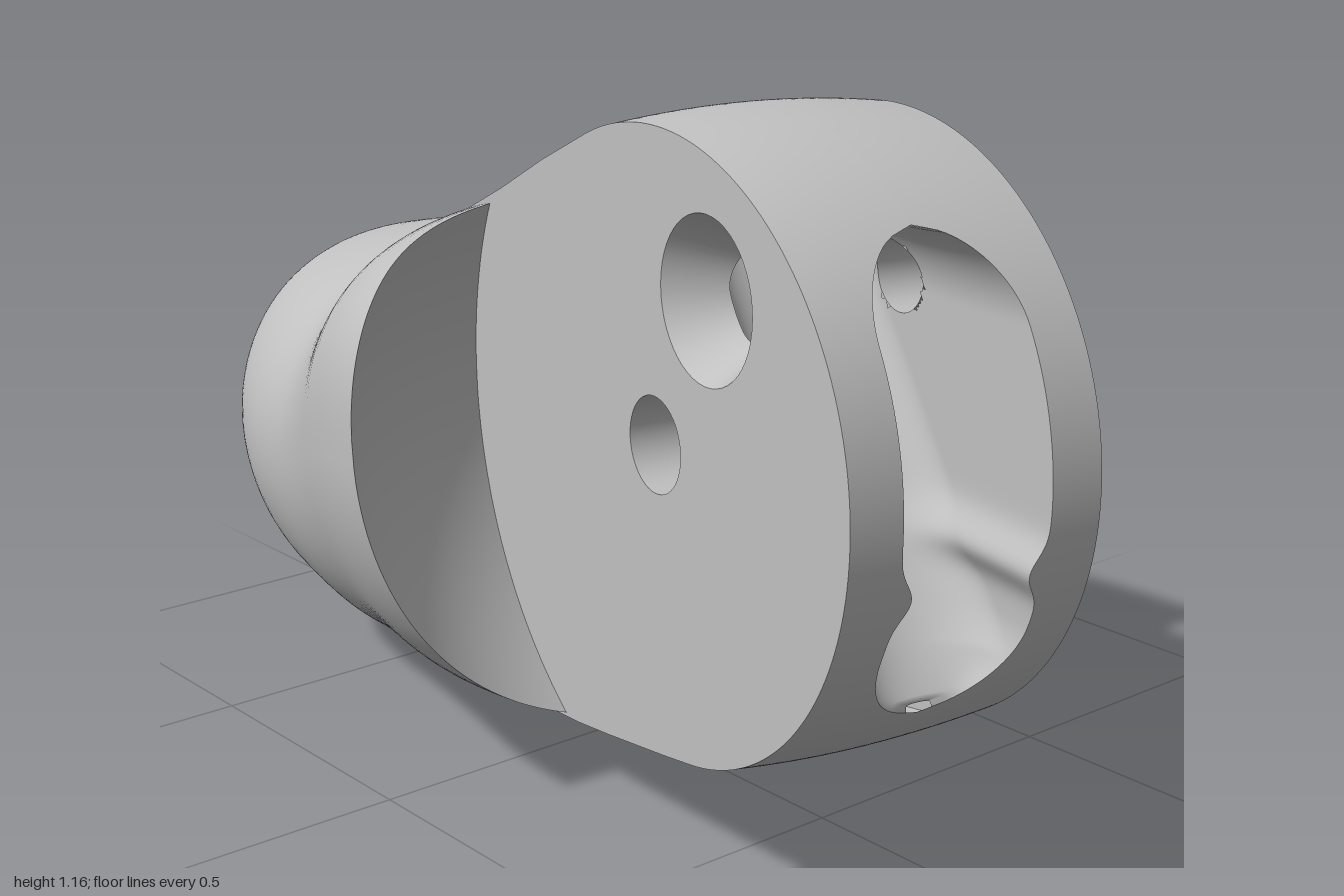
import * as THREE from 'three';

const HALF = 0.211;                          // half thickness of the hinge plate
const HUB = [-0.085, 0.67, 0.462];           // pivot centre
const PIVOT = { s: 0, y: 0, r: 0.075 };
const CROSS = { s: 0.14, y: 0.25 };          // cross hole into the slot
const WIDE = 0.075, NARROW = 0.057;          // its radii on the two slot walls

// Surface through rows of points; skip(r, c) leaves a quad out
function grid(rows, flip = false, skip = () => false) {
  const n = rows[0].length, index = [];
  for (let r = 0; r < rows.length - 1; r++) for (let c = 0; c < n - 1; c++) {
    if (skip(r, c)) continue;
    const a = r * n + c, b = a + 1, d = a + n, e = d + 1;
    index.push(...(flip ? [a, d, b, b, d, e] : [a, b, d, b, e, d]));
  }
  const g = new THREE.BufferGeometry();
  g.setAttribute('position', new THREE.Float32BufferAttribute(rows.flat(2), 3));
  g.setIndex(index);
  g.computeVertexNormals();
  return g;
}

// ---- Body: sections at z = -1 + (0.1 i)^2 as left, right, bottom, top, widest height
const SECTIONS = [
  [0.09, 0.09, 0.50, 0.50, 0.50], [-0.01, 0.19, 0.42, 0.57, 0.49], [-0.09, 0.295, 0.34, 0.635, 0.48],
  [-0.175, 0.385, 0.235, 0.695, 0.47], [-0.245, 0.455, 0.15, 0.74, 0.45], [-0.305, 0.52, 0.085, 0.765, 0.44],
  [-0.35, 0.57, 0.035, 0.785, 0.43], [-0.373, 0.592, 0, 0.805, 0.43], [-0.43, 0.565, 0.025, 0.865, 0.48],
  [-0.51, 0.543, 0.06, 0.925, 0.55], [-0.58, 0.555, 0.07, 0.965, 0.60], [-0.615, 0.56, 0.108, 0.985, 0.61],
  [-0.61, 0.55, 0.16, 0.985, 0.61],
];

function section(z) {
  const q = Math.min(Math.sqrt(Math.max(z + 1, 0)) * 10, 11.999);
  const i = Math.floor(q), t = q - i;
  const at = (k) => SECTIONS[Math.max(0, Math.min(12, k))];
  return at(i).map((b, k) => {
    const a = at(i - 1)[k], c = at(i + 1)[k], d = at(i + 2)[k];
    return b + 0.5 * t * (c - a + t * (2 * a - 5 * b + 4 * c - d + t * (3 * (b - c) + d - a)));
  });
}

function bodyPoint(angle, z) {
  const [l, r, b, t, mid] = section(z);
  const co = Math.cos(angle), si = Math.sin(angle);
  const n = si > 0 ? 2.1 + 0.9 * THREE.MathUtils.smoothstep(z, -0.6, 0) : 2;
  const pw = (v) => Math.sign(v) * Math.abs(v) ** (2 / n);
  return [(l + r) / 2 + pw(co) * (r - l) / 2, mid + pw(si) * (si > 0 ? t - mid : mid - b), z];
}

// Hollow front of the body: a sphere about the pivot, easing out at its edge
function hollowZ(x, y) {
  const a = 0.64 ** 2 - (x - HUB[0]) ** 2 - (y - HUB[1]) ** 2;
  return Math.min(0.335, HUB[2] - Math.sqrt((a + Math.hypot(a, 0.06)) / 2));
}

function buildBody(mat) {
  const group = new THREE.Group();
  group.name = 'body';
  const N = 160, M = 56, H = 16;
  const rows = Array.from({ length: M + 1 }, () => []);
  const hollow = Array.from({ length: H + 1 }, () => []);
  for (let k = 0; k <= N; k++) {
    const angle = (k / N) * Math.PI * 2;
    let end = 0.1;
    for (let i = 0; i < 60; i++) {
      const p = bodyPoint(angle, end);
      end += 0.5 * (hollowZ(p[0], p[1]) - end);
    }
    for (let j = 0; j <= M; j++) rows[j].push(bodyPoint(angle, -1 + (end + 1) * (j / M) ** 2));
    // From the rim straight inward to the middle of the plate
    const [x, y] = rows[M][k];
    for (let j = 0; j <= H; j++) {
      const xi = x + (HUB[0] - x) * (j / H);
      hollow[j].push([xi, y, j ? hollowZ(xi, y) : end]);
    }
  }
  const skin = new THREE.Mesh(grid(rows), mat);
  skin.name = 'bodySkin';
  const front = new THREE.Mesh(grid(hollow), mat);
  front.name = 'hollowFront';
  group.add(skin, front);
  return group;
}

// ---- Hinge plate, in its own frame: x across, y up, z forward from the pivot
const FRONT = 0.512, TOP = 0.478, BOTTOM = 0.485;   // radii of its rounded end

function platePath() {
  const pts = [[-0.8, 0.17], [-0.65, 0.235], [-0.5, 0.302], [-0.36, 0.37]];
  for (let i = 0; i <= 240; i++) {
    const a = THREE.MathUtils.degToRad(115 - (192 * i) / 240);
    pts.push([FRONT * Math.cos(a), (a > 0 ? TOP : BOTTOM) * Math.sin(a)]);
  }
  return [...pts, [0.03, -0.49], [-0.05, -0.505], [-0.14, -0.522], [-0.25, -0.541],
    [-0.33, -0.551], [-0.42, -0.556], [-0.55, -0.54], [-0.8, -0.48]];
}

// Rim bulge across the thickness, stronger where it runs into the body
function crown(x, y, s) {
  const k = 0.03 + 0.05 * THREE.MathUtils.smoothstep(-s, 0.12, 0.5);
  return y * (1 + k * (1 - (x / HALF) ** 2));
}

// Half width of the slot at height y, waisted above its lower end
function slotHalf(y) {
  const over = Math.max(y - 0.235, -0.19 - y, 0) / 0.125;
  if (over >= 1) return 0;
  return 0.125 * Math.sqrt(1 - over * over) * (1 - 0.2 * Math.exp(-(((y + 0.1) / 0.035) ** 2)));
}
const frontAt = (y) => FRONT * Math.sqrt(Math.max(0, 1 - (y / (y > 0 ? TOP : BOTTOM)) ** 2));
const floorAt = (y) => Math.min(0.16 - 0.75 * y, frontAt(y) - 0.005);
// Half width of the slot at depth s: straight walls and a rounded floor
function slotWidth(s, y) {
  const f = floorAt(y), r = Math.min(0.1, frontAt(y) - f);
  const d = Math.max(0, (f + r - s) / r);
  return slotHalf(y) * Math.sqrt(Math.max(0, 1 - d * d));
}

// Hole wall between two rings; each end gives x as a function of s and y
function holeWall(h, rA, xA, rB, xB) {
  const ring = (r, fx) => Array.from({ length: 49 }, (_, i) => {
    const a = (i / 48) * Math.PI * 2;
    const s = h.s + r * Math.cos(a), y = h.y + r * Math.sin(a);
    return [fx(s, y), y, s];
  });
  return grid([ring(rA, xA), ring(rB, xB)]);
}

function buildPlate(mat) {
  const group = new THREE.Group();
  group.name = 'hingePlate';
  const add = (name, geo) => {
    const m = new THREE.Mesh(geo, mat);
    m.name = name;
    group.add(m);
  };
  const path = platePath();

  // Flat side faces with their holes
  for (const side of [1, -1]) {
    const shape = new THREE.Shape(path.map(([s, y]) => new THREE.Vector2(s, y)));
    for (const [h, r] of [[PIVOT, PIVOT.r], [CROSS, side > 0 ? NARROW : 0.125]]) {
      shape.holes.push(new THREE.Path().absarc(h.s, h.y, r, 0, Math.PI * 2, true));
    }
    const geo = new THREE.ShapeGeometry(shape, 24).rotateY(-Math.PI / 2).translate(side * HALF, 0, 0);
    if (side > 0) {
      geo.index.array.reverse();
      geo.computeVertexNormals();
    }
    add(side > 0 ? 'leftFace' : 'rightFace', geo);
  }

  // Crowned rim in two strips, parted by the slot
  for (const side of [1, -1]) {
    const rows = path.map(([s, y]) => {
      const h = s > 0 ? slotHalf(y) : 0;
      return Array.from({ length: 9 }, (_, i) => {
        const x = side * (h + (HALF - h) * (i / 8));
        return [x, crown(x, y, s), s];
      });
    });
    add(side > 0 ? 'leftRim' : 'rightRim', grid(rows, side > 0));
  }

  // Slot walls and floor, with vertices near the cross hole drawn onto its edge
  const K = 72;
  const holeRadius = (side) => (side > 0 ? NARROW : WIDE);
  const rows = path.filter(([s, y]) => s > 0 && slotHalf(y) > 0).map(([s, y]) =>
    Array.from({ length: 2 * K + 1 }, (_, i) => {
      const t = (i - K) / K, f = floorAt(y);
      let z = f + (s - f) * t * t, v = y;
      const r = holeRadius(t), d = Math.hypot(z - CROSS.s, v - CROSS.y);
      if (Math.abs(d - r) < 0.005) {
        z = CROSS.s + (z - CROSS.s) * r / d;
        v = CROSS.y + (v - CROSS.y) * r / d;
      }
      const x = Math.sign(t) * slotWidth(z, v);
      return [x, v + (crown(x, v, z) - v) * t ** 8, z];
    }));
  add('slot', grid(rows, true, (r, c) => {
    const p = rows[r][c], q = rows[r + 1][c + 1];
    const d = Math.hypot((p[2] + q[2]) / 2 - CROSS.s, (p[1] + q[1]) / 2 - CROSS.y);
    return d < holeRadius(p[0] + q[0]);
  }));

  // Hole walls: straight pivot, narrow hole on one side, countersink on the other
  add('pivotHole', holeWall(PIVOT, PIVOT.r, () => HALF, PIVOT.r, () => -HALF));
  add('crossHole', holeWall(CROSS, NARROW, () => HALF, NARROW, slotWidth));
  add('countersink', holeWall(CROSS, WIDE, (s, y) => -slotWidth(s, y), 0.125, () => -HALF));

  group.position.set(...HUB);
  group.rotation.y = THREE.MathUtils.degToRad(-10.3);
  return group;
}

export function createModel() {
  const grey = new THREE.MeshStandardMaterial({ color: 0xc0c0c0, side: THREE.DoubleSide });
  grey.name = 'plainGrey';
  const model = new THREE.Group();
  model.name = 'hingedKnuckle';
  model.add(buildBody(grey), buildPlate(grey));
  return model;
}
